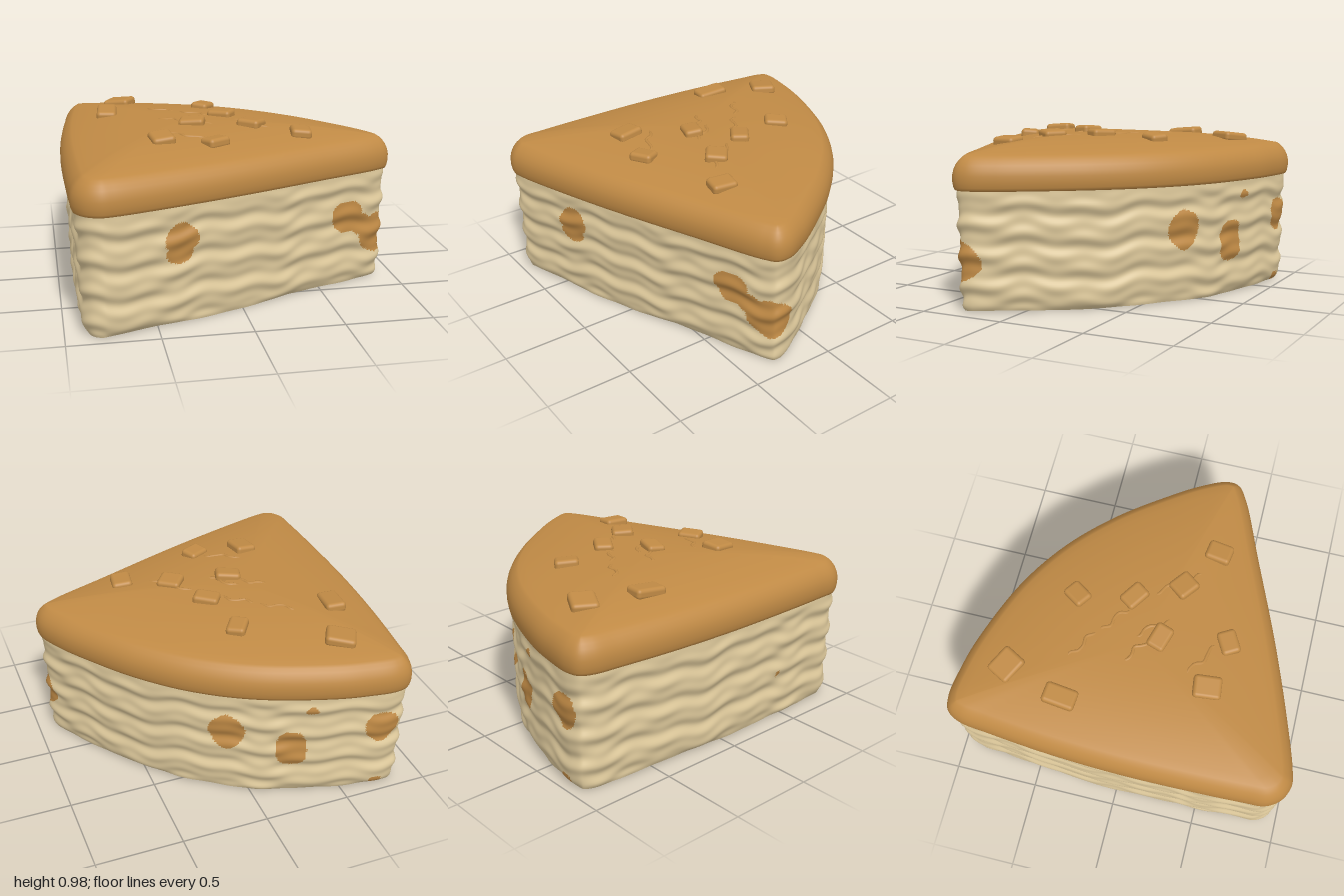
import * as THREE from 'three';
import { RoundedBoxGeometry } from 'three/addons/geometries/RoundedBoxGeometry.js';

const N = 480; // samples around the slice
const CX = -0.25, CZ = 0; // middle of the dome

// Plan outline [x, z]: back corner, round rim, right tip, straight front, front corner, left side
const PLAN = [
  [-0.76, -1], [-0.58, -0.98], [-0.4, -0.94], [0, -0.79], [0.3, -0.6], [0.55, -0.36], [0.75, -0.1], [0.88, 0.1],
  [0.945, 0.25], [0.935, 0.33], [0.86, 0.385], [0.5, 0.535], [0, 0.74], [-0.4, 0.885], [-0.72, 0.985],
  [-0.8, 0.995], [-0.88, 0.96], [-0.935, 0.88], [-0.945, 0.75], [-0.955, 0.4], [-0.955, 0], [-0.935, -0.4],
  [-0.9, -0.75], [-0.88, -0.9], [-0.84, -0.975],
];

function makeOutline() {
  const curve = new THREE.CatmullRomCurve3(PLAN.map(([x, z]) => new THREE.Vector3(x, 0, z)), true, 'centripetal');
  curve.arcLengthDivisions = 1000;
  return Array.from({ length: N }, (_, i) => {
    const p = curve.getPointAt(i / N), t = curve.getTangentAt(i / N);
    return { x: p.x, z: p.z, nx: t.z, nz: -t.x };
  });
}

// Closed loops joined from bottom to top; faces go in group 1 where isSpot says so
function loft(rows, pointAt, isSpot = () => false) {
  const pos = [], plain = [], spots = [];
  for (let j = 0; j < rows; j++) for (let i = 0; i < N; i++) pos.push(...pointAt(i, j));
  for (let j = 0; j < rows - 1; j++) {
    for (let i = 0; i < N; i++) {
      const a = j * N + i, b = j * N + (i + 1) % N, c = a + N, d = b + N;
      for (const tri of [[a, c, b], [b, c, d]]) {
        const mid = [0, 1, 2].map((k) => (pos[tri[0] * 3 + k] + pos[tri[1] * 3 + k] + pos[tri[2] * 3 + k]) / 3);
        (isSpot(...mid) ? spots : plain).push(...tri);
      }
    }
  }
  const g = new THREE.BufferGeometry();
  g.setAttribute('position', new THREE.Float32BufferAttribute(pos, 3));
  g.setIndex([...plain, ...spots].length ? plain.concat(spots) : plain);
  g.addGroup(0, plain.length, 0);
  g.addGroup(plain.length, spots.length, 1);
  g.computeVertexNormals();
  return g;
}

// Filling spots: x, y, z, half width, half height
const SPOTS = [
  [-0.36, 0.5, 0.85, 0.1, 0.085], [-0.37, 0.43, 0.85, 0.08, 0.075],
  [0.67, 0.43, 0.45, 0.11, 0.095], [0.76, 0.37, 0.41, 0.08, 0.065], [0.88, 0.29, 0.33, 0.135, 0.125],
  [0.13, 0.43, -0.69, 0.1, 0.12], [-0.2, 0.33, -0.85, 0.095, 0.12], [-0.3, 0.6, -0.89, 0.035, 0.025],
  [-0.7, 0.44, -0.97, 0.1, 0.1], [-0.7, 0.04, -0.95, 0.04, 0.03], [-0.94, 0.29, 0.42, 0.025, 0.025],
];
function inSpot(x, y, z) {
  return SPOTS.some(([sx, sy, sz, w, h]) => {
    const d = Math.hypot(x - sx, z - sz) / w, e = (y - sy) / h;
    const wobble = 1 + 0.06 * Math.sin(3 * Math.atan2(e, d) + sx * 9);
    return Math.hypot(d, e) < wobble;
  });
}

export function createModel() {
  const brown = new THREE.MeshStandardMaterial({ color: 0xc08a45, side: THREE.DoubleSide });
  brown.name = 'caramelBrown';
  const cream = new THREE.MeshStandardMaterial({ color: 0xdfca9c, side: THREE.DoubleSide });
  cream.name = 'cream';
  const group = new THREE.Group();
  group.name = 'cakeSlice';
  const outline = makeOutline();
  const add = (name, geometry, material) => {
    const mesh = new THREE.Mesh(geometry, material);
    mesh.name = name;
    group.add(mesh);
    return mesh;
  };

  // Hollow body, open below, with uneven horizontal layers
  const rows = 64;
  add('layeredBody', loft(rows, (i, j) => {
    const o = outline[i], a = i / N * Math.PI * 2, v = j / (rows - 1);
    const y = 0.012 + 0.678 * v;
    const ripple = Math.sin(y * 37 + 0.9 * Math.sin(a * 5) + 0.5 * Math.sin(a * 13 + 1))
      + 0.45 * Math.sin(y * 71 + 1.3 * Math.sin(a * 8 + 2) + Math.sin(a * 19));
    const fade = Math.min(1, (1 - v) * 8);
    const round = 0.03 * Math.max(0, 1 - y / 0.045) ** 2;
    const inset = 0.025 + 0.018 * (1 - v) + round + 0.008 * ripple * fade;
    const sag = 0.004 * Math.sin(a * 7) * (1 - v);
    return [o.x - o.nx * inset, y + sag, o.z - o.nz * inset];
  }, inSpot), [cream, brown]);

  // Topping: rounded rim [y, inset], then a low dome shrinking to the middle
  const rim = [[0.69, 0.035], [0.681, 0.022], [0.684, 0.012], [0.7, 0.005], [0.73, 0], [0.765, 0],
    [0.795, 0.007], [0.822, 0.019], [0.845, 0.036], [0.863, 0.055], [0.874, 0.072]];
  const domeRows = 16;
  const topping = add('topping', loft(rim.length + domeRows, (i, j) => {
    const o = outline[i];
    const [y, inset] = rim[Math.min(j, rim.length - 1)];
    const s = j < rim.length ? 1 : 1 - (j - rim.length + 1) / domeRows;
    const x = o.x - o.nx * inset, z = o.z - o.nz * inset;
    return [CX + (x - CX) * s, y + 0.074 * (1 - s ** 2.6), CZ + (z - CZ) * s];
  }), [brown, brown]);

  // Height of the topping at a place
  const ray = new THREE.Raycaster();
  const topY = (x, z) => {
    ray.set(new THREE.Vector3(x, 2, z), new THREE.Vector3(0, -1, 0));
    const hit = ray.intersectObject(topping)[0];
    return hit ? hit.point.y : 0.94;
  };

  // Crumbs: x, z, width, depth, turn
  const crumbs = [
    [-0.54, -0.7, 0.17, 0.15, -0.5], [-0.65, -0.36, 0.12, 0.19, -0.1], [-0.04, -0.42, 0.11, 0.14, -0.6],
    [0.02, -0.1, 0.15, 0.11, -0.6], [-0.19, 0.1, 0.15, 0.11, -0.3], [0.15, 0.16, 0.14, 0.13, -0.65],
    [0.41, 0.31, 0.12, 0.15, -0.15], [-0.41, 0.42, 0.13, 0.16, 0.12], [-0.12, 0.48, 0.14, 0.11, 0.5],
  ];
  crumbs.forEach(([x, z, w, d, turn], k) => {
    const crumb = add('crumb' + (k + 1), new RoundedBoxGeometry(w, 0.06, d, 3, 0.022), brown);
    crumb.position.set(x, topY(x, z) + 0.004, z);
    crumb.rotation.set(0.1 * Math.sin(k * 2.1), turn, 0.12 * Math.cos(k * 1.7));
  });

  // Thin raised creases: start x, z, end x, z
  const creases = [
    [-0.44, -0.38, -0.22, -0.25], [-0.24, -0.25, -0.04, -0.1], [-0.38, -0.08, -0.2, 0.05],
    [-0.22, -0.06, -0.06, 0.15], [0.04, -0.02, 0.27, 0.28], [-0.38, 0.28, -0.14, 0.43],
  ];
  creases.forEach(([x0, z0, x1, z1], k) => {
    const points = Array.from({ length: 7 }, (_, i) => {
      const t = i / 6, sway = 0.012 * Math.sin(i * 1.9 + k);
      const x = x0 + (x1 - x0) * t + sway, z = z0 + (z1 - z0) * t - sway;
      return new THREE.Vector3(x, topY(x, z) - 0.004 - 0.014 * (2 * t - 1) ** 4, z);
    });
    add('crease' + (k + 1), new THREE.TubeGeometry(new THREE.CatmullRomCurve3(points), 24, 0.011, 8), brown);
  });
  return group;
}
